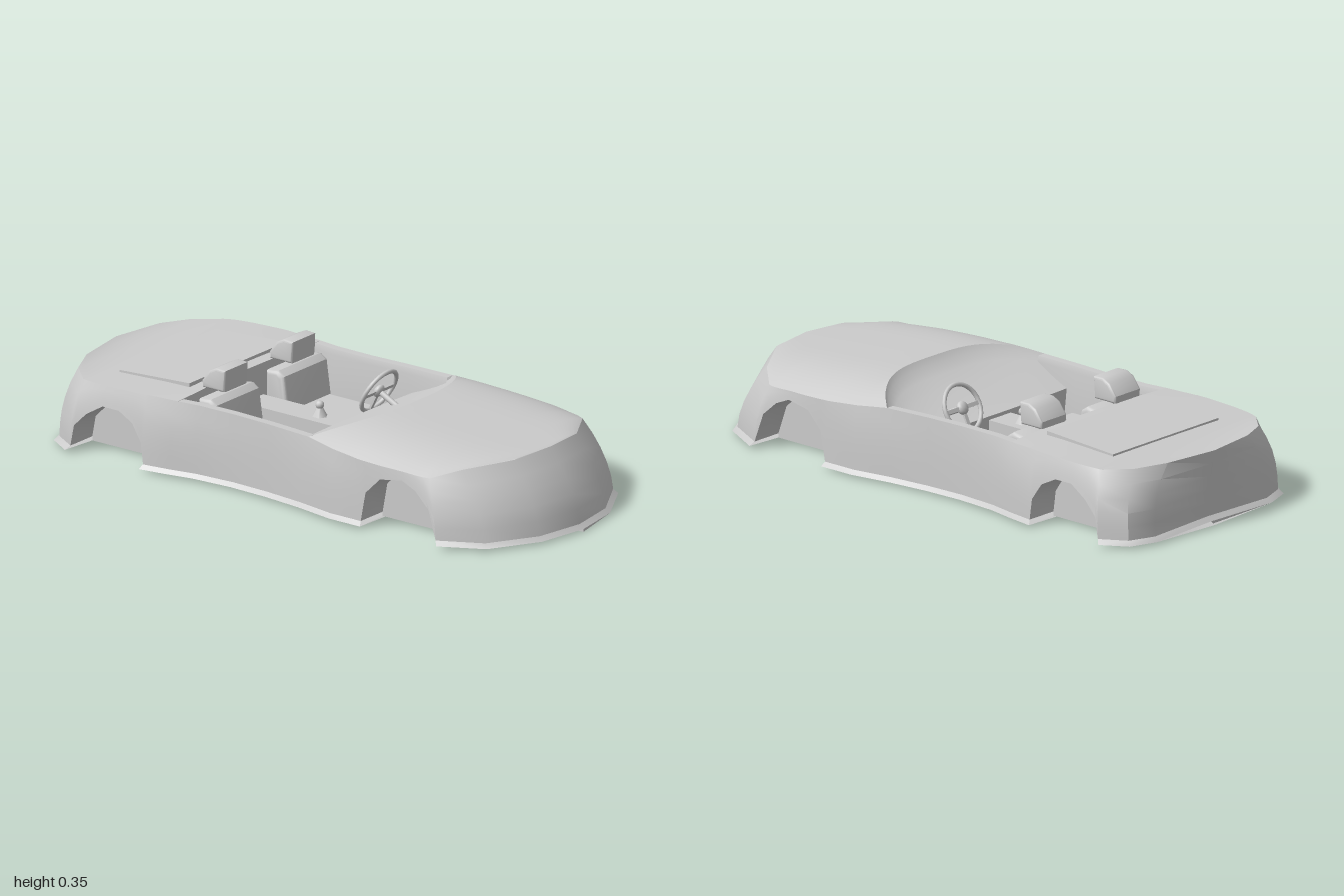
import * as THREE from 'three';
import { toCreasedNormals } from 'three/addons/utils/BufferGeometryUtils.js';
import { RoundedBoxGeometry } from 'three/addons/geometries/RoundedBoxGeometry.js';

const material = new THREE.MeshStandardMaterial({ color: 0xcccccc, side: THREE.DoubleSide });
const lerp = THREE.MathUtils.lerp;
const SILL = 0.025, WELL_X = 0.31, CABIN_Y = 0.05;

// Half of the body outline, nose to tail: bottom x, z, y; top edge x, y, z
const stations = [
  [0, 0.98, SILL, 0, 0.275, 0.855],
  [0.18, 0.95, SILL, 0.17, 0.27, 0.835],
  [0.35, 0.85, SILL, 0.33, 0.257, 0.735],
  [0.43, 0.70, SILL, 0.405, 0.23, 0.655],
  [0.43, 0.68, 0.13, 0.41, 0.23, 0.63],
  [0.43, 0.62, 0.18, 0.415, 0.232, 0.60],
  [0.43, 0.55, 0.205, 0.42, 0.236, 0.55],
  [0.43, 0.46, 0.19, 0.425, 0.238, 0.46],
  [0.43, 0.40, 0.13, 0.425, 0.24, 0.40],
  [0.43, 0.38, SILL, 0.425, 0.241, 0.37],
  [0.43, 0.25, SILL, 0.415, 0.25, 0.25],
  [0.405, 0.10, SILL, 0.395, 0.262, 0.13],
  [0.39, -0.05, SILL, 0.385, 0.265, -0.05],
  [0.385, -0.20, SILL, 0.378, 0.265, -0.20],
  [0.395, -0.35, SILL, 0.38, 0.265, -0.35],
  [0.415, -0.45, SILL, 0.39, 0.265, -0.43],
  [0.43, -0.55, SILL, 0.40, 0.265, -0.55],
  [0.43, -0.56, 0.10, 0.402, 0.265, -0.56],
  [0.43, -0.60, 0.16, 0.405, 0.264, -0.60],
  [0.43, -0.66, 0.19, 0.405, 0.262, -0.66],
  [0.43, -0.73, 0.19, 0.403, 0.26, -0.73],
  [0.43, -0.80, 0.15, 0.397, 0.258, -0.79],
  [0.43, -0.85, 0.10, 0.39, 0.256, -0.825],
  [0.43, -0.86, SILL, 0.385, 0.255, -0.84],
  [0.375, -0.95, SILL, 0.31, 0.258, -0.92],
  [0.28, -0.985, SILL, 0.20, 0.263, -0.97],
  [0, -0.97, SILL, 0, 0.265, -1.0],
];
const wells = [[3, 9], [16, 23]];

// Surface through rows of points
function grid(name, rows, crease = 0.6) {
  const n = rows[0].length, index = [];
  for (let i = 0; i < rows.length - 1; i++)
    for (let j = 0; j < n - 1; j++) {
      const a = i * n + j, b = a + n;
      index.push(a, b, a + 1, b, b + 1, a + 1);
    }
  const geometry = new THREE.BufferGeometry();
  geometry.setAttribute('position', new THREE.Float32BufferAttribute(rows.flat(2), 3));
  geometry.setIndex(index);
  return part(name, toCreasedNormals(geometry, crease));
}

function part(name, geometry, x = 0, y = 0, z = 0) {
  const mesh = new THREE.Mesh(geometry, material);
  mesh.name = name;
  mesh.position.set(x, y, z);
  return mesh;
}

// Side profile in (z, y) extruded across x
function extrude(name, profile, width, x, bevel = 0) {
  const shape = new THREE.Shape(profile.map(([z, y]) => new THREE.Vector2(z, y)));
  const geometry = new THREE.ExtrudeGeometry(shape, {
    depth: width - 2 * bevel, bevelEnabled: bevel > 0, bevelSize: bevel,
    bevelThickness: bevel, bevelOffset: -bevel, bevelSegments: 3,
  });
  geometry.translate(0, 0, bevel - width / 2).rotateY(-Math.PI / 2);
  return part(name, toCreasedNormals(geometry, 0.7), x);
}

const flip = (points) => points.map(([x, y, z]) => [-x, y, z]);
const across = (f, n = 12) => Array.from({ length: 2 * n + 1 }, (_, i) => f(i / n - 1));

// Point on the body side at height y
function wallPoint([bx, bz, , tx, ty, tz], y) {
  const t = (y - SILL) / (ty - SILL);
  return [lerp(bx, tx, t ** 3), y, lerp(bz, tz, t ** 1.6)];
}
const lipPoint = ([bx, bz]) => [bx * 1.03, 0.01, bz * 1.016];

function bodyShell(car) {
  // Side wall all round, cut away above the wheels
  const half = stations.map((s) =>
    [0, 0.2, 0.4, 0.6, 0.8, 1].map((k) => wallPoint(s, lerp(s[2], s[4], k))));
  car.add(grid('bodySide', [...half.slice(1).reverse().map(flip), ...half]));

  // Flared sill between the wheel openings
  const lip = (s) => [lipPoint(s), [s[0], SILL, s[1]]];
  const front = stations.slice(0, 4).map(lip), rear = stations.slice(23).map(lip);
  const middle = stations.slice(9, 17).map(lip);
  car.add(grid('frontSill', [...front.slice(1).reverse().map(flip), ...front]));
  car.add(grid('rearSill', [...rear.map(flip), ...rear.slice(0, -1).reverse()]));
  car.add(grid('leftSill', middle), grid('rightSill', middle.map(flip).reverse()));

  // Wheel wells and the underside notched around them
  const floor = [];
  stations.forEach((s, i) => {
    const outer = lipPoint(s), inner = [WELL_X, 0.01, s[1]];
    const well = wells.find(([a, b]) => i >= a && i <= b);
    if (!well) floor.push(outer);
    else if (i === well[0]) floor.push(outer, inner);
    else if (i === well[1]) floor.push(inner, outer);
    else floor.push(inner);
  });
  car.add(grid('underside', floor.map(([x, y, z]) => [[x, y, z], [0, 0, z], [-x, y, z]])));
  for (const [a, b] of wells) {
    const rows = stations.slice(a, b + 1).map((s) => {
      const p = wallPoint(s, s[2]);
      return [p, [WELL_X, p[1], p[2]], [WELL_X, 0.01, p[2]]];
    });
    car.add(grid('leftWheelWell', rows), grid('rightWheelWell', rows.map(flip).reverse()));
  }
}

function topSurfaces(car) {
  // Hood with a curved trailing edge
  const hoodRows = stations.slice(0, 12).map(([, , , tx, ty, tz]) => across((u) => {
    const a = Math.abs(u), z = Math.max(tz, 0.285 - 0.155 * a ** 3);
    const crown = lerp(0.275, 0.315, Math.min(1, (0.855 - z) / 0.555));
    return [tx * u, lerp(crown, ty, a ** 4), z];
  }));
  car.add(grid('hood', hoodRows));

  // Dashboard sweeping down from the hood edge
  const edge = hoodRows.at(-1);
  const dashRows = [0, 0.06, 0.2, 0.4, 0.6, 0.8, 1].map((v) => edge.map(([x, y, z], j) => {
    const u = j / 12 - 1;
    return [lerp(x, 0.36 * u, v), lerp(y, 0.18, v ** 0.65), lerp(z, -0.02 + 0.01 * u * u, v)];
  }));
  dashRows.push(dashRows.at(-1).map(([x, , z]) => [x, CABIN_Y, z + 0.015]));
  car.add(grid('dashboard', dashRows));

  // Cabin rails with inner door walls
  const rail = stations.slice(11, 16).map(([, , , x, y, z]) =>
    [[x, y, z], [x - 0.03, y, z], [x - 0.035, y - 0.02, z], [x - 0.035, CABIN_Y, z]]);
  car.add(grid('leftRail', rail), grid('rightRail', rail.map(flip).reverse()));

  // Rear deck dipping in front of the tail lip, and the wall behind the seats
  const deckRows = stations.slice(15).map(([, , , tx, ty, tz]) => {
    const crown = tz > -0.9 ? 0.01 * (tz + 0.87) / 0.44 : tz > -0.99 ? -0.008 : 0;
    return across((u) => [tx * u, ty + crown * (1 - u * u), tz]);
  });
  car.add(grid('rearDeck', deckRows));
  car.add(grid('cabinRearWall', [deckRows[0], deckRows[0].map(([x, , z]) => [x, CABIN_Y, z])].reverse()));
  car.add(extrude('deckPanel', [[-0.48, 0.25], [-0.48, 0.284], [-0.78, 0.267], [-0.78, 0.25]], 0.53, 0));
  car.add(part('cabinFloor', new THREE.BoxGeometry(0.7, 0.01, 0.43), 0, CABIN_Y - 0.005, -0.215));
}

function seat(x) {
  const group = new THREE.Group();
  group.name = 'seat';
  group.add(
    part('cushion', new RoundedBoxGeometry(0.25, 0.07, 0.28, 3, 0.018), x, 0.09, -0.215),
    extrude('backrest', [[-0.31, 0.07], [-0.335, 0.245], [-0.36, 0.262], [-0.41, 0.255], [-0.41, 0.07]], 0.25, x, 0.015),
    extrude('headrest', [[-0.345, 0.275], [-0.34, 0.352], [-0.38, 0.354], [-0.41, 0.34], [-0.44, 0.3], [-0.438, 0.275]], 0.13, x, 0.008),
    part('headrestPost', new THREE.BoxGeometry(0.05, 0.04, 0.02), x, 0.265, -0.385),
  );
  return group;
}

function steeringWheel() {
  const wheel = new THREE.Group();
  wheel.name = 'steeringWheel';
  wheel.add(part('rim', new THREE.TorusGeometry(0.083, 0.008, 8, 28)));
  wheel.add(part('hub', new THREE.SphereGeometry(0.024, 12, 8).scale(1, 1, 0.6)));
  for (const angle of [0, Math.PI, -Math.PI / 2]) {
    const spoke = part('spoke', new THREE.BoxGeometry(0.07, 0.014, 0.008).translate(0.047, 0, 0));
    spoke.rotation.z = angle;
    wheel.add(spoke);
  }
  wheel.add(part('column', new THREE.CylinderGeometry(0.01, 0.01, 0.12, 10).rotateX(Math.PI / 2), 0, 0, 0.06));
  wheel.position.set(0.17, 0.238, -0.01);
  wheel.rotation.x = 0.46;
  return wheel;
}

export function createModel() {
  const car = new THREE.Group();
  car.name = 'openCarBody';
  bodyShell(car);
  topSurfaces(car);
  car.add(seat(0.185), seat(-0.185), steeringWheel());

  // Centre console and gear lever
  car.add(part('centreConsole', new THREE.BoxGeometry(0.11, 0.12, 0.39), 0, 0.11, -0.22));
  car.add(part('gearLever', new THREE.CylinderGeometry(0.008, 0.03, 0.04, 6), 0, 0.185, -0.13));
  car.add(part('gearKnob', new THREE.SphereGeometry(0.015, 10, 8), 0, 0.21, -0.13));
  return car;
}
